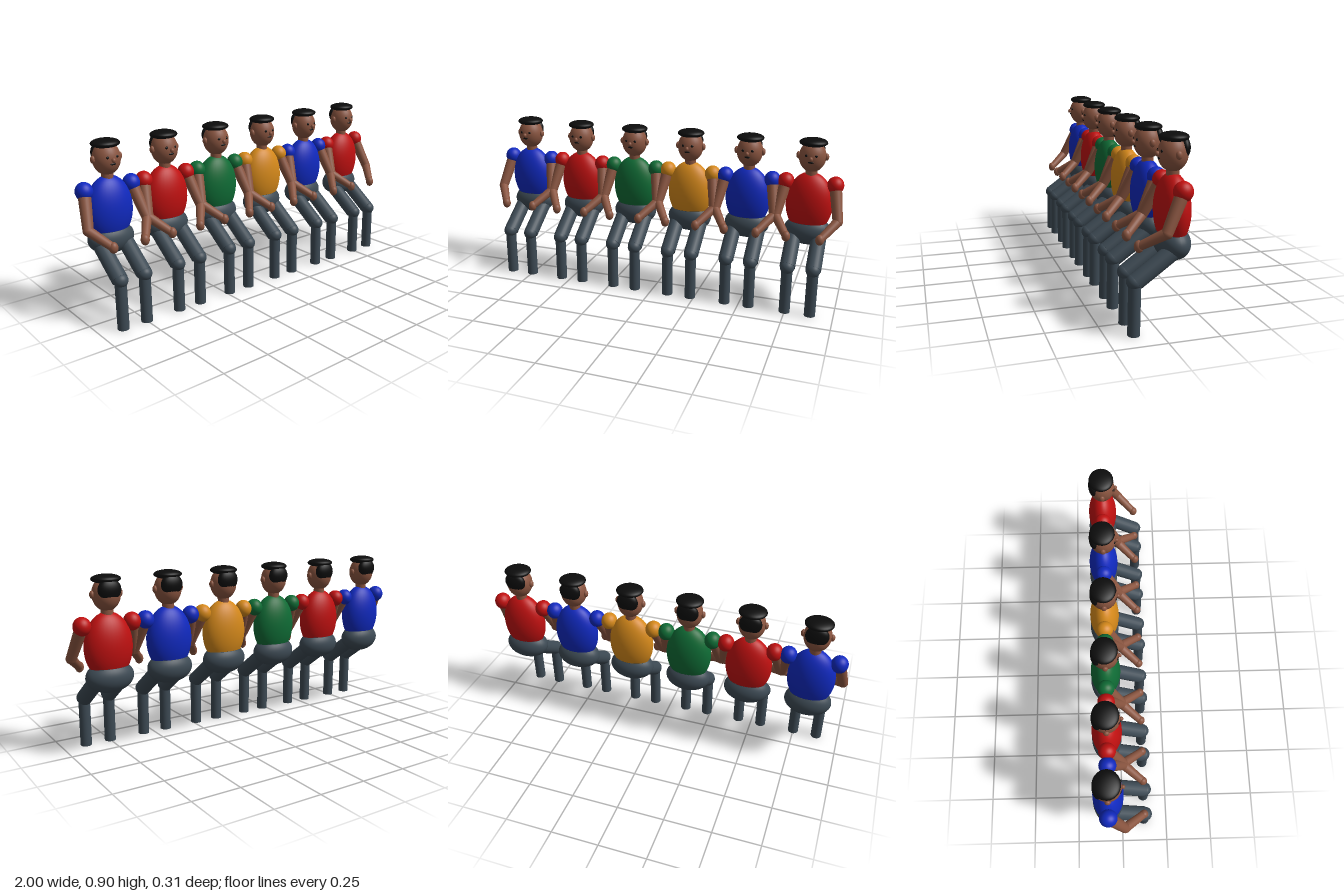
import * as THREE from 'three';

const material = (name, color) => {
  const m = new THREE.MeshStandardMaterial({ color });
  m.name = name;
  return m;
};

export function createModel() {
  const skin = material('skin', 0x8a5540);
  const hair = material('black hair', 0x0c0c0c);
  const trousers = material('slate trousers', 0x3d4a54);
  const blue = material('blue shirt', 0x1029bf);
  const red = material('red shirt', 0xbf1010);
  const green = material('green shirt', 0x0f6b35);
  const orange = material('orange shirt', 0xd4881a);

  const ball = new THREE.SphereGeometry(1, 28, 20);

  const add = (parent, name, geometry, mat) => {
    const mesh = new THREE.Mesh(geometry, mat);
    mesh.name = name;
    parent.add(mesh);
    return mesh;
  };

  // Ellipsoid at a position with three radii
  const ellipsoid = (parent, name, mat, position, radii) => {
    const mesh = add(parent, name, ball, mat);
    mesh.position.set(...position);
    mesh.scale.set(...radii);
    return mesh;
  };

  // Tapered cylinder running from a to b
  const limb = (parent, name, mat, a, b, rA, rB) => {
    const from = new THREE.Vector3(...a), to = new THREE.Vector3(...b);
    const dir = to.clone().sub(from);
    const mesh = add(parent, name, new THREE.CylinderGeometry(rB, rA, dir.length(), 24), mat);
    mesh.position.copy(from).addScaledVector(dir, 0.5);
    mesh.quaternion.setFromUnitVectors(new THREE.Vector3(0, 1, 0), dir.normalize());
    return mesh;
  };

  // Ellipsoid sliced flat at one height: unit profile between two angles from the bottom pole
  const slicedGeometry = (start, end) => {
    const points = [];
    for (let i = 0; i <= 20; i++) {
      const t = start + (end - start) * i / 20;
      points.push(new THREE.Vector2(Math.max(0, Math.sin(t)), -Math.cos(t)));
    }
    return new THREE.LatheGeometry(points, 32);
  };
  const torsoCut = Math.acos(0.1 / 0.17);
  const torsoGeometry = slicedGeometry(torsoCut, Math.PI);
  const hipCut = Math.PI - Math.acos(0.05 / 0.08);
  const hipGeometry = slicedGeometry(0, hipCut);

  const buildPerson = (shirt) => {
    const person = new THREE.Group();

    // Trunk
    const torso = add(person, 'torso', torsoGeometry, shirt);
    torso.position.set(0, 0.55, -0.074);
    torso.scale.set(0.122, 0.17, 0.079);
    const hips = add(person, 'hips', hipGeometry, trousers);
    hips.position.set(0, 0.402, -0.076);
    hips.scale.set(0.122, 0.08, 0.08);
    const waist = add(person, 'waist', new THREE.CylinderGeometry(1, 1, 0.004, 32), trousers);
    waist.position.set(0, 0.45, -0.075);
    waist.scale.set(0.098, 1, 0.064);
    limb(person, 'neck', skin, [0, 0.69, -0.074], [0, 0.75, -0.074], 0.03, 0.03);

    // Head and face
    const head = new THREE.Group();
    head.name = 'head';
    person.add(head);
    ellipsoid(head, 'face', skin, [0, 0.804, -0.073], [0.069, 0.082, 0.069]);
    ellipsoid(head, 'topHair', hair, [0, 0.877, -0.076], [0.072, 0.023, 0.067]);
    ellipsoid(head, 'backHair', hair, [0, 0.829, -0.117], [0.058, 0.054, 0.03]);
    ellipsoid(head, 'nose', skin, [0, 0.805, 0], [0.01, 0.012, 0.011]);
    ellipsoid(head, 'mouth', hair, [0, 0.786, -0.007], [0.015, 0.005, 0.004]);

    for (const s of [-1, 1]) {
      const side = s > 0 ? 'left' : 'right';
      ellipsoid(head, side + 'Ear', skin, [s * 0.071, 0.806, -0.073], [0.012, 0.019, 0.015]);
      ellipsoid(head, side + 'Eye', hair, [s * 0.024, 0.819, -0.012], [0.008, 0.007, 0.005]);

      // Arm
      const shoulder = [s * 0.127, 0.66, -0.073];
      const elbow = [s * 0.159, 0.492, 0.009];
      const hand = [s * 0.085, 0.42, 0.109];
      ellipsoid(person, side + 'Shoulder', shirt, shoulder, [0.043, 0.046, 0.045]);
      limb(person, side + 'UpperArm', skin, shoulder, elbow, 0.032, 0.026);
      ellipsoid(person, side + 'Elbow', skin, elbow, [0.026, 0.026, 0.026]);
      limb(person, side + 'Forearm', skin, elbow, hand, 0.025, 0.02);
      ellipsoid(person, side + 'Hand', skin, hand, [0.022, 0.028, 0.022]);

      // Leg
      const x = s * 0.066;
      limb(person, side + 'Thigh', trousers, [x, 0.379, -0.06], [x, 0.254, 0.114], 0.04, 0.04);
      ellipsoid(person, side + 'Knee', trousers, [x, 0.254, 0.121], [0.037, 0.036, 0.037]);
      limb(person, side + 'Shin', trousers, [x, 0.0, 0.122], [x, 0.25, 0.119], 0.029, 0.029);
    }
    return person;
  };

  // Row of six seated people
  const row = new THREE.Group();
  row.name = 'seatedRow';
  [blue, red, green, orange, blue, red].forEach((shirt, i) => {
    const person = buildPerson(shirt);
    person.name = 'person' + (i + 1);
    person.position.x = (i - 2.5) * 0.326;
    row.add(person);
  });
  return row;
}
